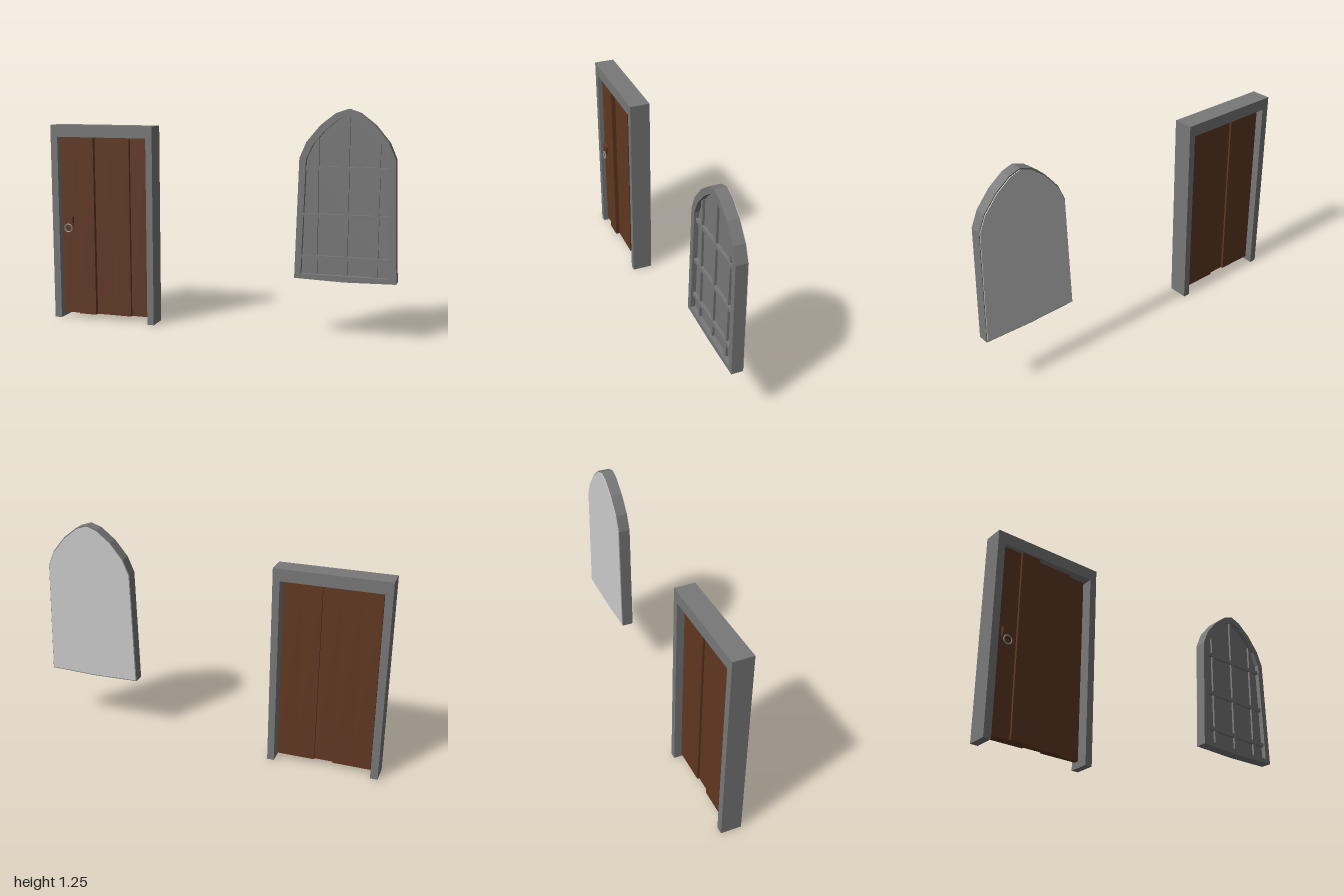
import * as THREE from 'three';

export function createModel() {
  const root = new THREE.Group();
  const mat = (name, color) => {
    const m = new THREE.MeshStandardMaterial({ color });
    m.name = name;
    return m;
  };
  const stone = mat('stone grey', 0x787878);
  const wood = mat('dark brown wood', 0x613822);
  const iron = mat('iron grey', 0x929292);
  const pale = mat('pale grey', 0xcccccc);

  const add = (parent, name, geo, material) => {
    const m = new THREE.Mesh(geo, material);
    m.name = name;
    parent.add(m);
    return m;
  };
  // Box given by its limits on each axis
  const box = (parent, name, material, x0, x1, y0, y1, z0, z1) =>
    add(parent, name, new THREE.BoxGeometry(x1 - x0, y1 - y0, z1 - z0), material)
      .position.set((x0 + x1) / 2, (y0 + y1) / 2, (z0 + z1) / 2);
  const toShape = (pts) => new THREE.Shape(pts.map(([x, y]) => new THREE.Vector2(x, y)));
  const slab = (shape, z0, z1) =>
    new THREE.ExtrudeGeometry(shape, { depth: z1 - z0, bevelEnabled: false }).translate(0, 0, z0);

  // Door frame: two posts and a lintel in one piece
  const door = new THREE.Group();
  door.name = 'door';
  root.add(door);
  add(door, 'doorFrame', slab(toShape([
    [-1, 0], [-0.958, 0], [-0.958, 1.072], [-0.409, 1.072],
    [-0.409, 0], [-0.37, 0], [-0.37, 1.14], [-1, 1.14],
  ]), -0.058, 0.058), stone);

  // Five boards of equal width set at uneven depths: [back, front]
  const depths = [[-0.02, 0.034], [-0.02, 0.048], [-0.008, 0.024], [-0.02, 0.024], [-0.02, 0.006]];
  const boardWidth = 0.1062;
  depths.forEach(([back, front], i) => {
    const x = -0.95 + i * boardWidth;
    box(door, 'doorBoard' + (i + 1), wood, x, x + boardWidth, 0.03, 1.072, back, front);
  });

  // Handle block and pull ring
  box(door, 'handleBlock', wood, -0.93, -0.875, 0.555, 0.608, 0.03, 0.051);
  add(door, 'handleRing', new THREE.TorusGeometry(0.023, 0.004, 6, 16), iron)
    .position.set(-0.902, 0.54, 0.053);

  // Pointed window, outlines given as the right half from sill to apex
  const window_ = new THREE.Group();
  window_.name = 'window';
  root.add(window_);
  const cx = 0.724;
  const outerHalf = [[0.275, 0.332], [0.255, 0.985], [0.218, 1.072], [0.143, 1.163], [0.062, 1.226], [0, 1.247]];
  const innerHalf = [[0.24, 0.358], [0.219, 0.98], [0.182, 1.06], [0.118, 1.135], [0.05, 1.192], [0, 1.212]];
  const mirrored = (half) => [
    ...half.map(([x, y]) => [cx + x, y]),
    ...half.slice(0, -1).reverse().map(([x, y]) => [cx - x, y]),
  ];
  const outer = [...mirrored(outerHalf), [cx, 0.325]];
  const inner = mirrored(innerHalf);
  const frame = toShape(outer);
  frame.holes.push(toShape(inner));
  add(window_, 'windowFrame', slab(frame, -0.024, 0.04), stone);
  add(window_, 'windowPane', slab(toShape(inner), -0.024, 0.013), stone);
  add(window_, 'windowBack', slab(toShape(outer.map(([x, y]) =>
    [cx + (x - cx) * 0.985, 0.78 + (y - 0.78) * 0.985])), -0.029, -0.0235), pale);

  // Glazing bars, cut to the height or width of the opening
  const halfWidthAt = (y) => {
    const i = Math.max(1, innerHalf.findIndex((p) => p[1] >= y));
    const [[xa, ya], [xb, yb]] = [innerHalf[i - 1], innerHalf[i]];
    return xa + (xb - xa) * (y - ya) / (yb - ya);
  };
  for (const [dx, top] of [[-0.163, 1.09], [0, 1.212], [0.163, 1.09]])
    box(window_, 'verticalBar', stone, cx + dx - 0.011, cx + dx + 0.011, 0.355, top, 0.01, 0.026);
  for (const y of [0.932, 0.678, 0.449]) {
    const w = halfWidthAt(y) + 0.006;
    box(window_, 'horizontalBar', stone, cx - w, cx + w, y - 0.011, y + 0.011, 0.01, 0.03);
  }
  return root;
}
